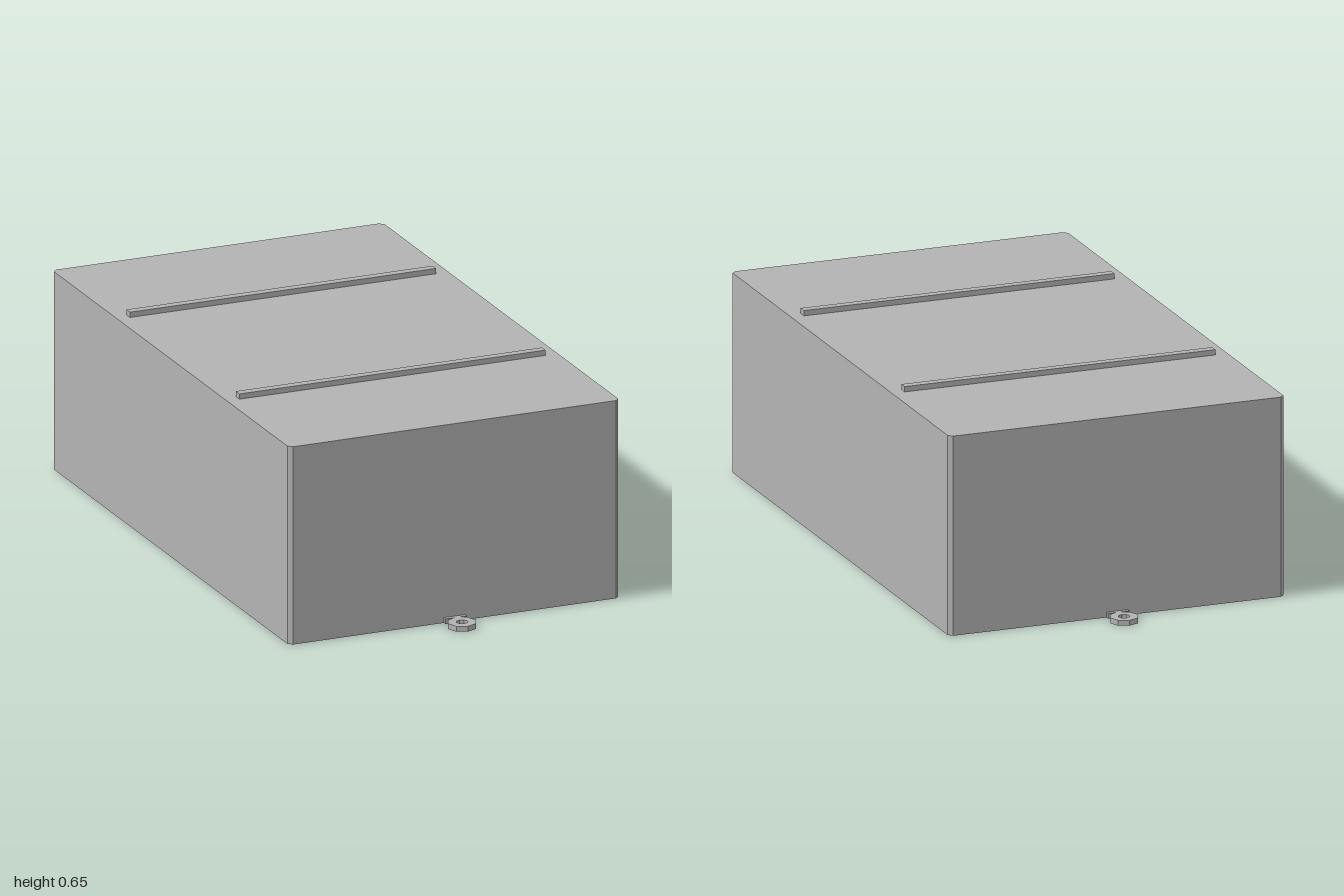
import * as THREE from 'three';

const grey = new THREE.MeshStandardMaterial({ color: 0xb3b3b3 });
grey.name = 'grey';

// Extrudes an x/z outline upward from y = 0
function slab(name, shape, height) {
  const geo = new THREE.ExtrudeGeometry(shape, { depth: height, bevelEnabled: false });
  geo.rotateX(-Math.PI / 2);
  const mesh = new THREE.Mesh(geo, grey);
  mesh.name = name;
  return mesh;
}

function box(name, w, h, d, x, y, z) {
  const mesh = new THREE.Mesh(new THREE.BoxGeometry(w, h, d), grey);
  mesh.name = name;
  mesh.position.set(x, y, z);
  return mesh;
}

function polygon(radius, sides) {
  return Array.from({ length: sides }, (_, i) => {
    const a = (i / sides) * Math.PI * 2;
    return new THREE.Vector2(Math.cos(a) * radius, Math.sin(a) * radius);
  });
}

export function createModel() {
  const group = new THREE.Group();
  group.name = 'container';
  const W = 0.548, D = 0.897, H = 0.635, C = 0.013;

  // Main block with chamfered upright edges
  const outline = new THREE.Shape([
    [W - C, -D], [W, -D + C], [W, D - C], [W - C, D],
    [-W + C, D], [-W, D - C], [-W, -D + C], [-W + C, -D],
  ].map(([x, y]) => new THREE.Vector2(x, y)));
  group.add(slab('body', outline, H));

  const ring = new THREE.Shape(polygon(0.046, 8));
  ring.holes.push(new THREE.Path(polygon(0.018, 8).reverse()));

  for (const [side, s] of [['front', 1], ['back', -1]]) {
    // Raised rail across the top
    group.add(box(side + 'Rail', 1.014, 0.017, 0.027, 0, H + 0.0085, s * 0.414));

    // Octagonal eyelet on a small mounting tab
    const lug = new THREE.Group();
    lug.name = side + 'Lug';
    const eyelet = slab('eyelet', ring, 0.017);
    eyelet.position.z = s * 0.954;
    lug.add(eyelet, box('tab', 0.07, 0.017, 0.014, 0, 0.0085, s * 0.903));
    group.add(lug);
  }
  return group;
}
